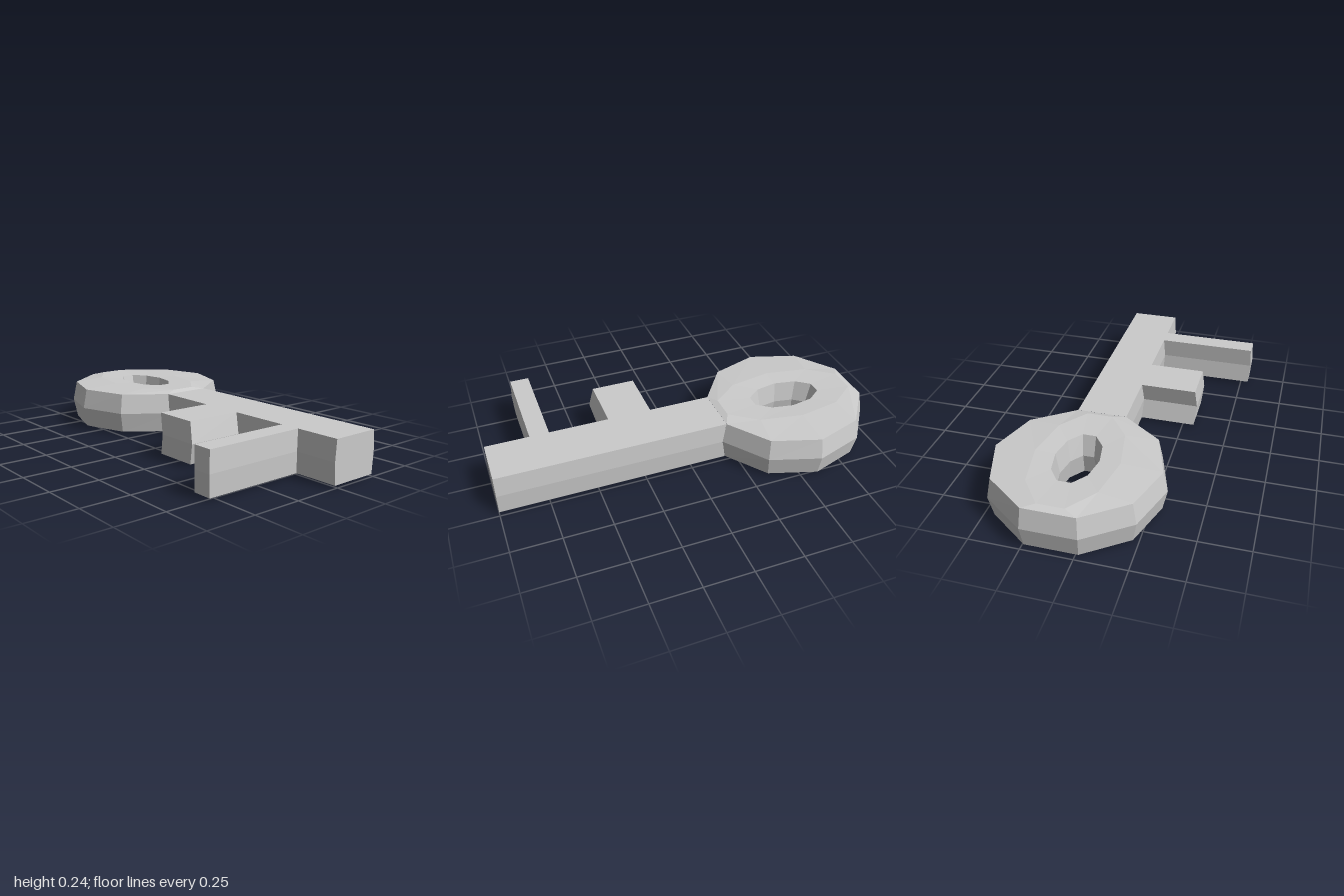
import * as THREE from 'three';

const LEVELS = [0.014, 0.121, 0.226]; // lower edge, ridge line, upper edge

function makeMesh(name, triangles) {
  const geometry = new THREE.BufferGeometry();
  geometry.setAttribute('position', new THREE.Float32BufferAttribute(triangles.flat(), 3));
  geometry.computeVertexNormals();
  const material = new THREE.MeshStandardMaterial({ color: 0xcccccc, flatShading: true });
  const mesh = new THREE.Mesh(geometry, material);
  mesh.name = name;
  return mesh;
}

const quad = (a, b, c, d) => [a, b, c, a, c, d];

// Solid with a ridge around its waist: [x, z] outlines for the edges and the ridge,
// leaving out the walls listed in open, where it joins another part.
function ridgedPlate(name, edge, ridge, open) {
  const rings = [edge, ridge, edge].map((outline, j) => outline.map(([x, z]) => [x, LEVELS[j], z]));
  const triangles = [];
  const n = edge.length;
  for (let i = 0; i < n; i++) {
    if (open.includes(i)) continue;
    const k = (i + 1) % n;
    for (let j = 0; j < 2; j++) {
      triangles.push(...quad(rings[j][i], rings[j][k], rings[j + 1][k], rings[j + 1][i]));
    }
  }
  // Flat top and bottom
  const contour = edge.map(([x, z]) => new THREE.Vector2(x, -z));
  for (const [a, b, c] of THREE.ShapeUtils.triangulateShape(contour, [])) {
    triangles.push(rings[2][a], rings[2][b], rings[2][c]);
    triangles.push(rings[0][a], rings[0][c], rings[0][b]);
  }
  return makeMesh(name, triangles);
}

// Ten-sided ring with an oval hole
function bow() {
  const sides = 10, cx = 0.11, cz = -0.585;
  // Cross-section from the outer lower edge round to the underside: [x radius, z radius, y]
  const section = [
    [0.413, 0.415, LEVELS[0]], [0.436, 0.436, LEVELS[1]], [0.413, 0.415, LEVELS[2]],
    [0.21, 0.38, 0.237], [0.109, 0.195, 0.232],
    [0.092, 0.168, LEVELS[1]], [0.109, 0.195, 0.006], [0.21, 0.38, 0],
  ];
  const point = (j, i) => {
    const [rx, rz, y] = section[j % section.length];
    const angle = (i / sides) * Math.PI * 2;
    return [cx + rx * Math.cos(angle), y, cz + rz * Math.sin(angle)];
  };
  const triangles = [];
  for (let j = 0; j < section.length; j++) {
    for (let i = 0; i < sides; i++) {
      if (i === 2 && j < 2) continue; // open where the shaft joins
      triangles.push(...quad(point(j, i + 1), point(j, i), point(j + 1, i), point(j + 1, i + 1)));
    }
  }
  return makeMesh('bow', triangles);
}

export function createModel() {
  const key = new THREE.Group();
  key.name = 'key';
  key.add(bow());

  const root = { edge: -0.018, ridge: -0.025 };
  // Tip x, back z and front z of each tooth, at the edges and at the ridge
  const teeth = [
    { name: 'wideTooth', edge: [-0.312, 0.135, 0.365], ridge: [-0.322, 0.16, 0.39] },
    { name: 'longTooth', edge: [-0.543, 0.675, 0.775], ridge: [-0.55, 0.685, 0.78] },
  ];

  // Shaft, open at the bow and at the tooth roots
  const shaftOutline = (level, right, back) => {
    const left = root[level];
    const roots = teeth.flatMap((t) => [[left, t[level][1]], [left, t[level][2]]]);
    return [[left, back], ...roots, [left, 1], [right, 1], [right, back]];
  };
  key.add(ridgedPlate('shaft', shaftOutline('edge', 0.238, -0.19), shaftOutline('ridge', 0.245, -0.17), [1, 3, 7]));

  // Teeth, open at the root
  for (const tooth of teeth) {
    const outline = (level) => {
      const [tip, back, front] = tooth[level];
      return [[tip, back], [tip, front], [root[level], front], [root[level], back]];
    };
    key.add(ridgedPlate(tooth.name, outline('edge'), outline('ridge'), [2]));
  }
  return key;
}
